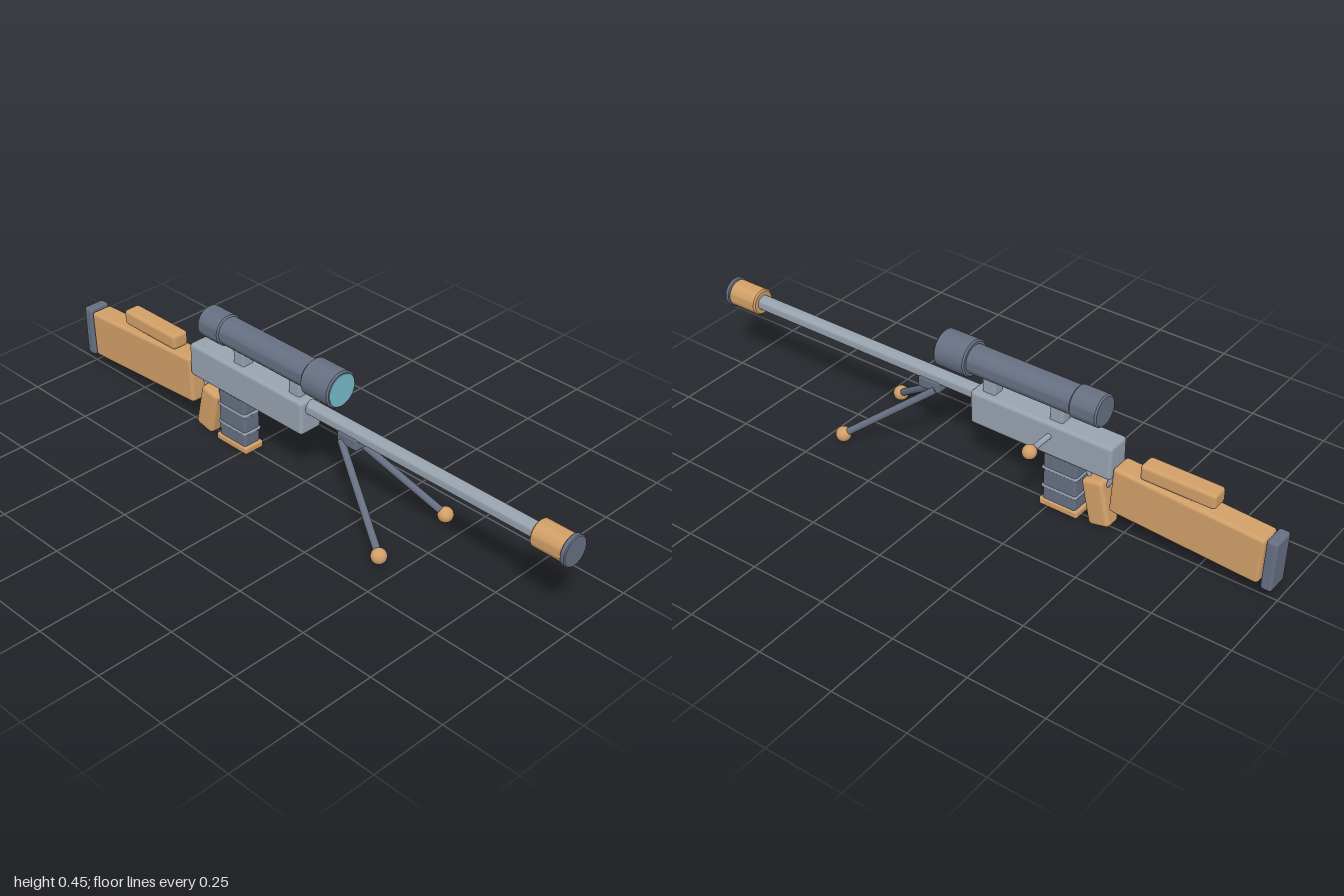
import * as THREE from 'three';
import { RoundedBoxGeometry } from 'three/addons/geometries/RoundedBoxGeometry.js';
import { toCreasedNormals } from 'three/addons/utils/BufferGeometryUtils.js';

export function createModel() {
  const model = new THREE.Group();
  model.name = 'toyRifle';

  const material = (name, color) => {
    const m = new THREE.MeshStandardMaterial({ color });
    m.name = name;
    return m;
  };
  const steel = material('light steel', 0x98a3af);
  const dark = material('dark gunmetal', 0x666f82);
  const wood = material('tan wood', 0xd19f68);
  const glass = material('teal glass', 0x78bccb);

  const add = (name, geometry, mat, x = 0, y = 0, z = 0) => {
    const mesh = new THREE.Mesh(geometry, mat);
    mesh.name = name;
    mesh.position.set(x, y, z);
    model.add(mesh);
    return mesh;
  };

  // Box with softened edges, placed by its centre
  const box = (name, mat, [w, h, d], [x, y, z], r = 0.008, tilt = 0) => {
    const mesh = add(name, new RoundedBoxGeometry(w, h, d, 2, r), mat, x, y, z);
    mesh.rotation.x = tilt;
    return mesh;
  };

  // Closed cylinder along z with a small bevel at both ends
  const tube = (name, mat, r, z0, z1, y, bevel = 0.004) => {
    const profile = [
      [0, z0], [r - bevel, z0], [r, z0 + bevel],
      [r, z1 - bevel], [r - bevel, z1], [0, z1],
    ].map(([a, b]) => new THREE.Vector2(a, b));
    const g = new THREE.LatheGeometry(profile, 32).rotateX(Math.PI / 2);
    return add(name, toCreasedNormals(g, 0.6), mat, 0, y, 0);
  };

  // Round rod between two points
  const rod = (name, mat, r, from, to) => {
    const a = new THREE.Vector3(...from);
    const b = new THREE.Vector3(...to);
    const mesh = add(name, new THREE.CylinderGeometry(r, r, a.distanceTo(b), 16), mat);
    mesh.position.copy(a).lerp(b, 0.5);
    mesh.quaternion.setFromUnitVectors(new THREE.Vector3(0, 1, 0), b.sub(a).normalize());
  };
  const ball = (name, r, x, y, z) => add(name, new THREE.SphereGeometry(r, 24, 16), wood, x, y, z);

  // Receiver, barrel and muzzle
  const boreY = 0.283;
  box('receiver', steel, [0.084, 0.114, 0.494], [0, 0.254, -0.222], 0.012);
  tube('barrel', steel, 0.024, 0, 0.9, boreY);
  tube('muzzleSleeve', wood, 0.043, 0.878, 0.988, boreY, 0.005);
  tube('muzzleCap', dark, 0.048, 0.983, 1, boreY, 0.003);

  // Scope with lens and two mounts
  const scopeY = 0.396;
  tube('scopeBody', dark, 0.046, -0.36, 0.06, scopeY);
  tube('scopeBell', dark, 0.059, 0.035, 0.147, scopeY, 0.005);
  tube('scopeEyepiece', dark, 0.051, -0.418, -0.325, scopeY, 0.005);
  add('scopeLens', new THREE.CylinderGeometry(0.051, 0.051, 0.004, 32).rotateX(Math.PI / 2),
    glass, 0, scopeY, 0.147);
  for (const z of [-0.028, -0.267]) {
    box('scopeMount', steel, [0.042, 0.075, 0.046], [0, 0.335, z], 0.006);
  }

  // Side handle
  rod('boltHandle', steel, 0.009, [0.03, 0.268, -0.258], [0.13, 0.268, -0.258]);
  ball('boltKnob', 0.0225, 0.137, 0.268, -0.258);

  // Magazine with bands and base
  box('magazine', dark, [0.064, 0.19, 0.116], [0, 0.118, -0.291]);
  for (const y of [0.142, 0.077]) {
    box('magazineBand', steel, [0.068, 0.011, 0.123], [0, y, -0.291], 0.004);
  }
  box('magazineBase', wood, [0.074, 0.025, 0.135], [0, 0.02, -0.291], 0.007);

  // Grip and the ring above it
  box('grip', wood, [0.06, 0.155, 0.074], [0, 0.086, -0.413], 0.014, 0.21);
  add('guardRing', new THREE.TorusGeometry(0.037, 0.007, 10, 28).rotateY(Math.PI / 2),
    steel, 0, 0.172, -0.408);

  // Stock, cheek rest and butt plate
  box('stock', wood, [0.077, 0.157, 0.488], [0, 0.154, -0.712], 0.012, -0.058);
  box('cheekRest', wood, [0.06, 0.052, 0.243], [0, 0.264, -0.677], 0.012);
  box('buttPlate', dark, [0.076, 0.17, 0.036], [0, 0.139, -0.979], 0.009, -0.03);

  // Folding front legs
  box('legMount', dark, [0.052, 0.04, 0.08], [0, 0.254, 0.193]);
  for (const s of [-1, 1]) {
    rod('leg', dark, 0.0115, [s * 0.021, 0.244, 0.168], [s * 0.141, 0.037, 0.438]);
    ball('legFoot', 0.0245, s * 0.141, 0.037, 0.438);
  }

  return model;
}
